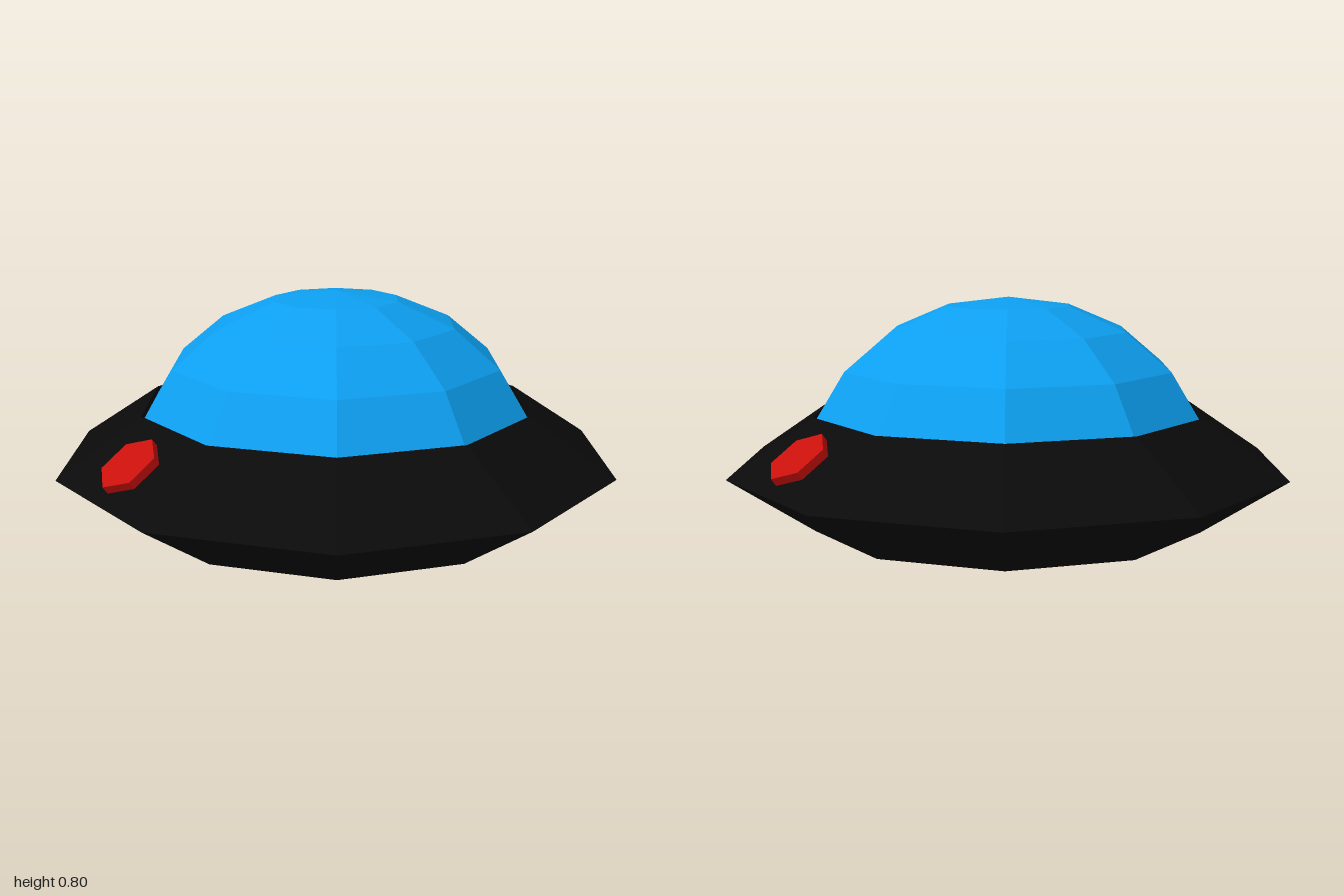
import * as THREE from 'three';

const SIDES = 10;

function makeMesh(name, geometry, color, side = THREE.FrontSide) {
  const material = new THREE.MeshStandardMaterial({ color, flatShading: true, side });
  const mesh = new THREE.Mesh(geometry, material);
  mesh.name = name;
  return mesh;
}

export function createModel() {
  const group = new THREE.Group();
  group.name = 'saucer';

  // Hull: open ring with a triangular section and a vertical inner wall
  const profile = [[0.7, 0], [1, 0.2], [0.7, 0.4], [0.7, 0]].map(([r, y]) => new THREE.Vector2(r, y));
  const hull = new THREE.LatheGeometry(profile, SIDES, Math.PI / 2);
  group.add(makeMesh('hullRing', hull, 0x0a0a0a));

  // Dome: flattened hemisphere, open below, its lower edge sunk into the ring
  const dome = new THREE.SphereGeometry(1, SIDES, 5, 0, Math.PI * 2, 0, Math.PI / 2);
  dome.scale(0.73, 0.6, 0.73);
  dome.translate(0, 0.2, 0);
  group.add(makeMesh('dome', dome, 0x0d9ff0, THREE.DoubleSide));

  // Hexagonal lights lying on the sloped front and back of the ring
  const tilt = Math.atan2(0.2, 0.285);
  for (const [name, turn] of [['frontLight', 0], ['backLight', Math.PI]]) {
    const light = new THREE.CylinderGeometry(0.112, 0.112, 0.05, 6);
    light.rotateX(tilt);
    light.translate(0, 0.298, 0.819);
    light.rotateY(turn);
    group.add(makeMesh(name, light, 0xc8100c));
  }

  return group;
}
